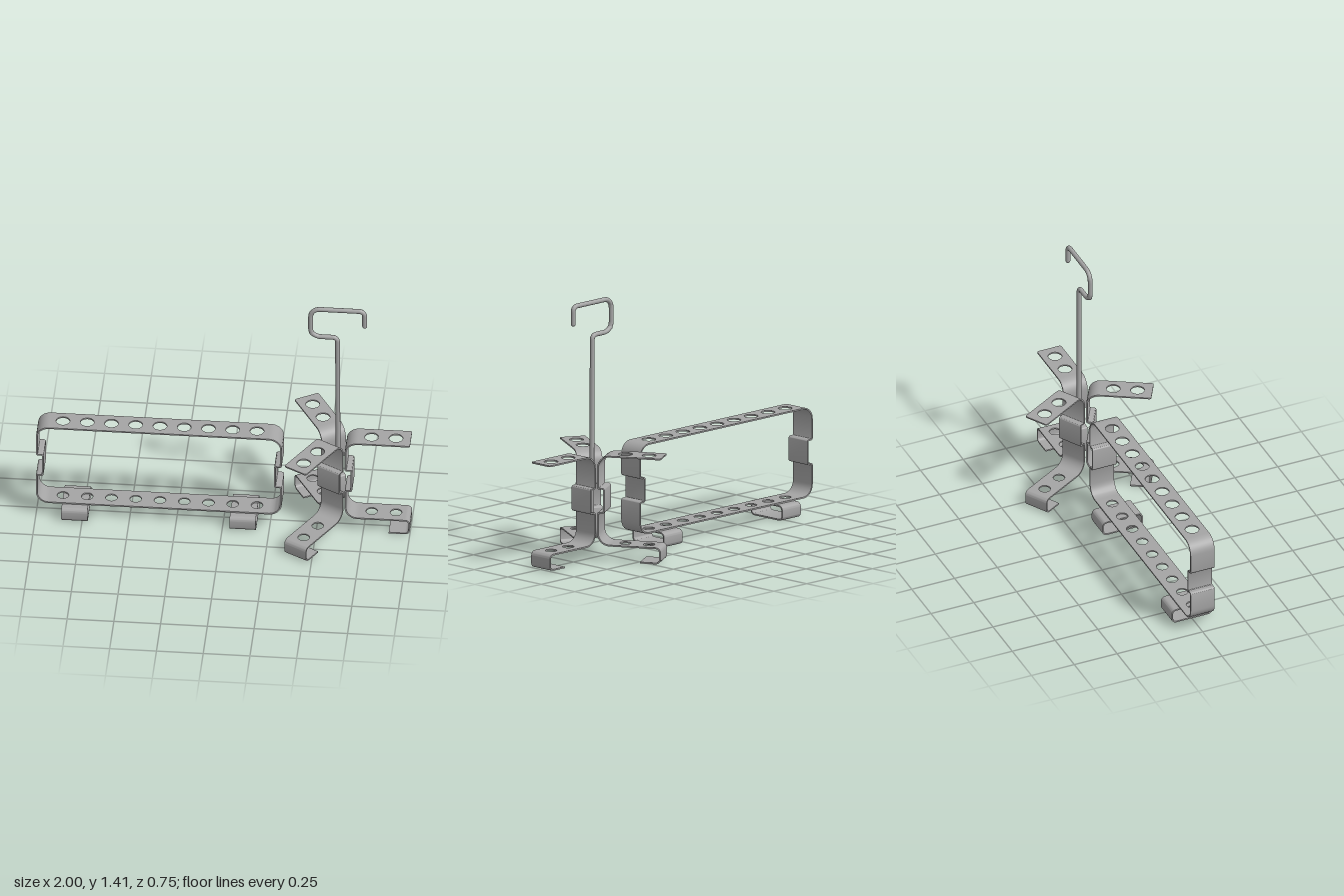
import * as THREE from 'three';
import { toCreasedNormals } from 'three/addons/utils/BufferGeometryUtils.js';

const WIDTH = 0.14, THICK = 0.008;
const steel = new THREE.MeshStandardMaterial({ color: 0xa5a5a5 });
steel.name = 'grey steel';

function add(parent, name, geometry) {
  const mesh = new THREE.Mesh(geometry, steel);
  mesh.name = name;
  parent.add(mesh);
  return mesh;
}

// Points [x, y, cornerRadius] become a polyline with rounded corners
function roundedPath(points) {
  const out = [];
  points.forEach(([x, y, r = 0], i) => {
    const p = new THREE.Vector2(x, y);
    if (!r) { out.push(p); return; }
    const toward = (q) => new THREE.Vector2(q[0], q[1]).sub(p).setLength(r).add(p);
    const a = toward(points[i - 1]), b = toward(points[i + 1]);
    const curve = new THREE.CubicBezierCurve(a, a.clone().lerp(p, 0.5523), b.clone().lerp(p, 0.5523), b);
    out.push(...curve.getPoints(8));
  });
  return out;
}

// Bent sheet strip: a thickened profile extruded along z
function bentStrip(points, width = WIDTH) {
  const line = roundedPath(points);
  const side = (s) => line.map((p, i) => {
    const d0 = p.clone().sub(line[Math.max(i - 1, 0)]).normalize();
    const d1 = line[Math.min(i + 1, line.length - 1)].clone().sub(p).normalize();
    const d = d0.add(d1).normalize();
    return new THREE.Vector2(p.x - d.y * s, p.y + d.x * s);
  });
  const shape = new THREE.Shape([...side(THICK / 2), ...side(-THICK / 2).reverse()]);
  const geo = new THREE.ExtrudeGeometry(shape, { depth: width, bevelEnabled: false });
  geo.translate(0, 0, -width / 2);
  return toCreasedNormals(geo, 0.6);
}

// Flat perforated strip from x0 to x1, centred on height y
function holedStrip(x0, x1, y, holes, radius, endRound = 0) {
  const h = WIDTH / 2, e = endRound;
  const shape = new THREE.Shape();
  shape.moveTo(x0, -h);
  shape.lineTo(x1 - e, -h);
  if (e) shape.quadraticCurveTo(x1, -h, x1, -h + e);
  shape.lineTo(x1, h - e);
  if (e) shape.quadraticCurveTo(x1, h, x1 - e, h);
  shape.lineTo(x0, h);
  shape.closePath();
  for (const x of holes) {
    const hole = new THREE.Path();
    hole.absarc(x, 0, radius, 0, Math.PI * 2, true);
    shape.holes.push(hole);
  }
  const geo = new THREE.ExtrudeGeometry(shape, { depth: THICK, bevelEnabled: false, curveSegments: 24 });
  geo.rotateX(-Math.PI / 2);
  geo.translate(0, y - THICK / 2, 0);
  return toCreasedNormals(geo, 0.6);
}

const TOP = 0.573, LOW = 0.087;

// Long rectangular frame with notched ends and two loop feet
function createFrame() {
  const frame = new THREE.Group();
  frame.name = 'rectangularFrame';
  const left = -0.996, right = 0.311, bend = 0.066;
  const holes = Array.from({ length: 9 }, (_, i) => -0.861 + i * 0.1297);
  add(frame, 'topRail', holedStrip(left + bend, right - bend, TOP, holes, 0.037));
  add(frame, 'bottomRail', holedStrip(left + bend, right - bend, LOW, holes, 0.031));
  for (const [name, x, s] of [['leftEnd', right, -1], ['rightEnd', left, 1]]) {
    add(frame, name, bentStrip([
      [x + s * bend, TOP], [x, TOP, bend - 0.001],
      [x, 0.395, 0.008], [x + s * 0.033, 0.395, 0.008],
      [x + s * 0.033, 0.263, 0.008], [x, 0.263, 0.008],
      [x, LOW, bend - 0.001], [x + s * bend, LOW],
    ]));
  }
  for (const x of [-0.79, 0.11]) {
    const foot = add(frame, 'frameFoot', bentStrip([
      [0, 0.079], [0.114, 0.079, 0.022], [0.114, 0.004, 0.022],
      [-0.114, 0.004, 0.022], [-0.114, 0.079, 0.022], [0, 0.079],
    ], WIDTH));
    foot.rotation.y = Math.PI / 2;
    foot.position.x = x;
  }
  return frame;
}

// One bracket of the stand, reaching outward along +x
function createBracket() {
  const bracket = new THREE.Group();
  bracket.name = 'standBracket';
  const r = 0.048, bend = 0.066, holes = [0.183, 0.313];
  add(bracket, 'topArm', holedStrip(r + bend, 0.393, TOP, holes, 0.037, 0.012));
  add(bracket, 'lowerArm', holedStrip(r + bend, 0.366, LOW, holes, 0.031));
  add(bracket, 'notchedColumn', bentStrip([
    [r + bend, TOP], [r, TOP, bend - 0.001],
    [r, 0.395, 0.008], [r + 0.033, 0.395, 0.008],
    [r + 0.033, 0.263, 0.008], [r, 0.263, 0.008],
    [r, LOW, bend - 0.001], [r + bend, LOW],
  ]));
  add(bracket, 'hookedFoot', bentStrip([
    [0.366, LOW], [0.389, LOW, 0.022], [0.389, 0.004, 0.022], [0.28, 0.004],
  ]));
  return bracket;
}

// Upright rod bent into an open hook
function hookRod() {
  const line = roundedPath([
    [0.004, 0.2], [0, 1.217, 0.026], [-0.125, 1.217, 0.035], [-0.144, 1.25, 0.018],
    [-0.144, 1.395, 0.05], [0.145, 1.395, 0.028], [0.145, 1.3],
  ]).map((p) => new THREE.Vector3(p.x, p.y, 0));
  const path = new THREE.CurvePath();
  for (let i = 1; i < line.length; i++) path.add(new THREE.LineCurve3(line[i - 1], line[i]));
  return { geo: new THREE.TubeGeometry(path, 240, 0.0128, 14), ends: [line[0], line.at(-1)] };
}

export function createModel() {
  const model = new THREE.Group();
  model.name = 'stripFrameAndHookStand';
  model.add(createFrame());

  const stand = new THREE.Group();
  stand.name = 'hookStand';
  stand.position.x = 0.607;
  for (let i = 0; i < 3; i++) {
    const bracket = createBracket();
    bracket.rotation.y = i * Math.PI * 2 / 3;
    stand.add(bracket);
  }
  const { geo, ends } = hookRod();
  add(stand, 'hookRod', geo);
  for (const p of ends) {
    add(stand, 'rodTip', new THREE.SphereGeometry(0.0128, 14, 8)).position.copy(p);
  }
  model.add(stand);
  return model;
}
